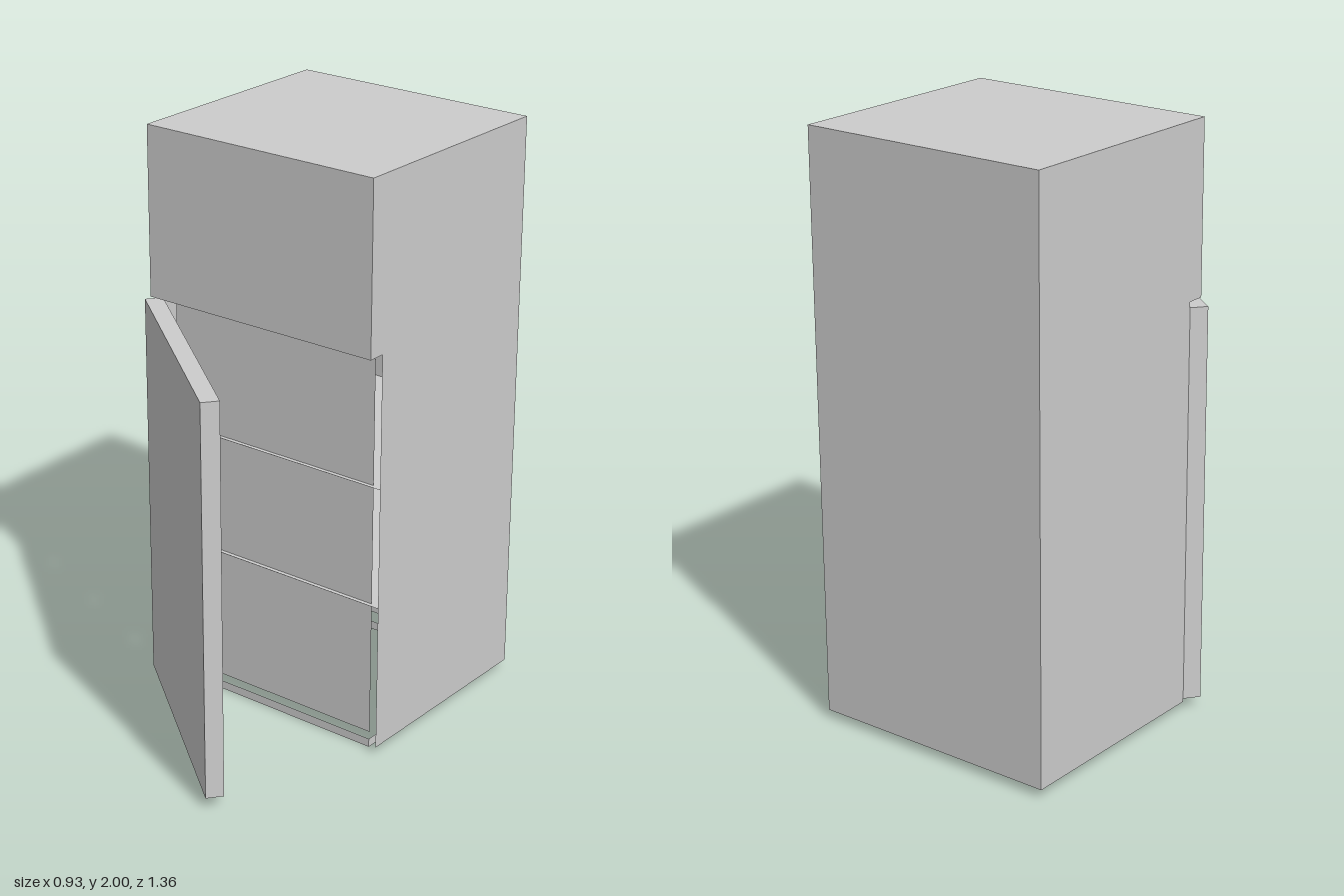
import * as THREE from 'three';

export function createModel() {
  const model = new THREE.Group();
  const grey = new THREE.MeshStandardMaterial({ color: 0xcccccc, side: THREE.DoubleSide });
  grey.name = 'light grey enamel';

  const L = -0.43, R = 0.46, BACK = -0.68, FRONT = 0.14, STEP = 0.08;
  const BOTTOM = 0.03, SPLIT = 1.42, TOP = 2;

  function add(name, geometry, x = 0, y = 0, z = 0, parent = model) {
    const mesh = new THREE.Mesh(geometry, grey);
    mesh.name = name;
    mesh.position.set(x, y, z);
    parent.add(mesh);
    return mesh;
  }
  // Sheet facing +z or -z, from x0,y0 to x1,y1
  function upright(name, x0, x1, y0, y1, z, dir = 1, parent = model) {
    const g = new THREE.PlaneGeometry(x1 - x0, y1 - y0);
    if (dir < 0) g.rotateY(Math.PI);
    return add(name, g, (x0 + x1) / 2, (y0 + y1) / 2, z, parent);
  }
  // Level sheet facing up or down
  function level(name, x0, x1, z0, z1, y, dir = 1, parent = model) {
    const g = new THREE.PlaneGeometry(x1 - x0, z1 - z0).rotateX(-dir * Math.PI / 2);
    return add(name, g, (x0 + x1) / 2, y, (z0 + z1) / 2, parent);
  }

  // Cabinet shell: stepped side walls, back, top and the upper compartment
  const cabinet = new THREE.Group();
  cabinet.name = 'cabinet';
  model.add(cabinet);
  const profile = new THREE.Shape([
    [BACK, BOTTOM], [STEP, BOTTOM], [STEP, SPLIT], [FRONT, SPLIT], [FRONT, TOP], [BACK, TOP],
  ].map(([z, y]) => new THREE.Vector2(-z, y)));
  const mirrored = new THREE.Shape(profile.getPoints().map((p) => new THREE.Vector2(-p.x, p.y)));
  add('leftSide', new THREE.ShapeGeometry(profile).rotateY(Math.PI / 2), R, 0, 0, cabinet);
  add('rightSide', new THREE.ShapeGeometry(mirrored).rotateY(-Math.PI / 2), L, 0, 0, cabinet);
  upright('back', L, R, BOTTOM, TOP, BACK, -1, cabinet);
  upright('upperFront', L, R, SPLIT, TOP, FRONT, 1, cabinet);
  level('top', L, R, BACK, FRONT, TOP, 1, cabinet);
  level('upperFloor', L, R, BACK, FRONT, SPLIT, -1, cabinet);

  // Inner front panel and the two shelves crossing it
  upright('innerPanel', -0.39, 0.42, 0.065, 1.39, 0.06);
  for (const y of [0.54, 0.96]) level('shelf', L, R, BACK, 0.075, y);

  // Open plinth ring under the cabinet
  const plinth = new THREE.Group();
  plinth.name = 'plinth';
  model.add(plinth);
  const px0 = -0.38, px1 = 0.41, pz0 = -0.62, pz1 = 0.05;
  upright('plinthFront', px0, px1, 0, BOTTOM, pz1, 1, plinth);
  upright('plinthBack', px0, px1, 0, BOTTOM, pz0, -1, plinth);
  for (const [x, dir] of [[px0, -1], [px1, 1]]) {
    const g = new THREE.PlaneGeometry(pz1 - pz0, BOTTOM).rotateY(dir * Math.PI / 2);
    add('plinthSide', g, x, BOTTOM / 2, (pz0 + pz1) / 2, plinth);
  }

  // Lower door, swung open
  const door = add('door', new THREE.BoxGeometry(0.89, 1.36, 0.06), -0.097, 0.72, 0.38);
  door.rotation.y = -0.666;

  return model;
}
